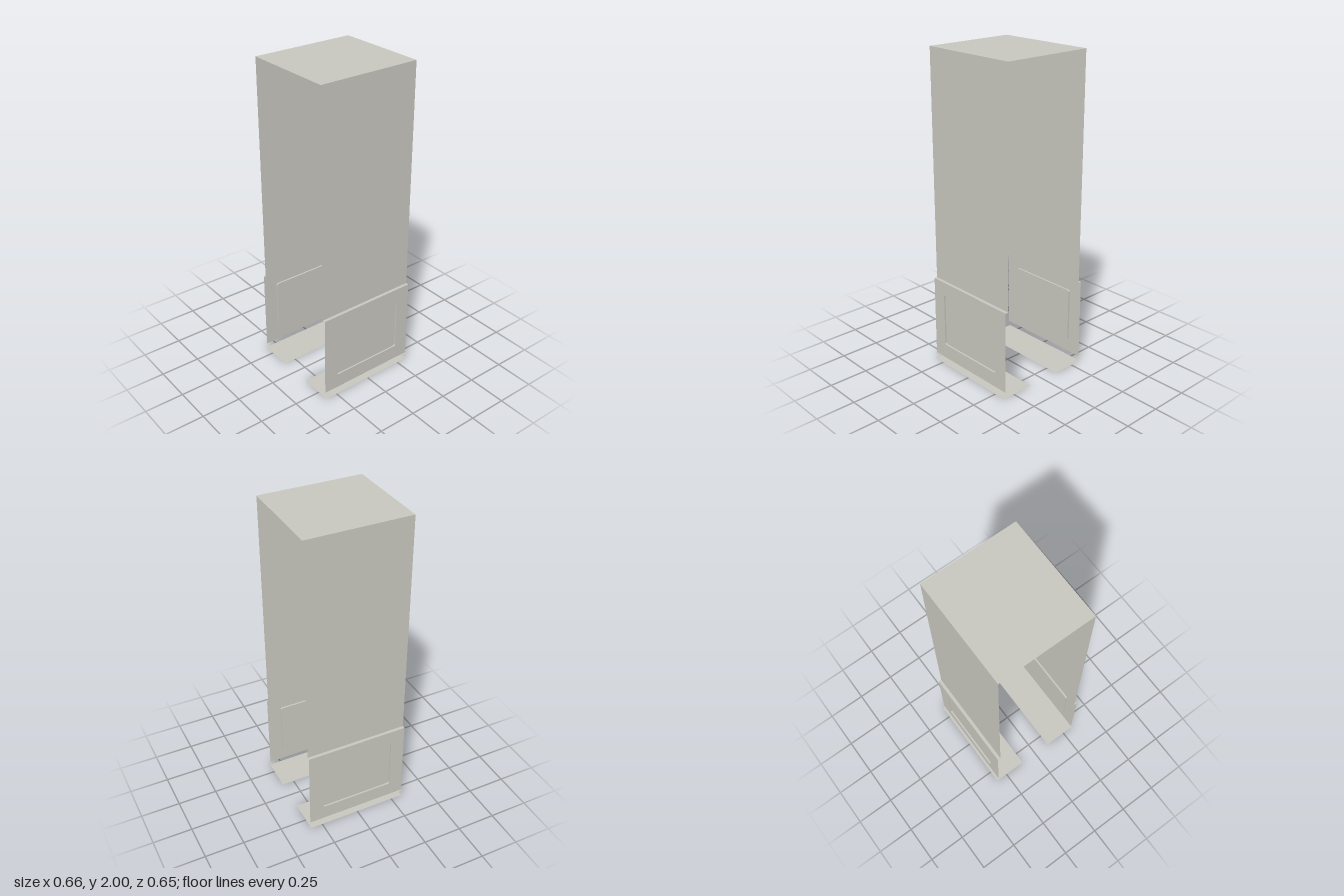
import * as THREE from 'three';

const HALF_Z = 0.327, TOP_X = 0.296, DOOR_X = 0.316, BASE_X = 0.328;
const BASE_Y = 0.038, LEDGE_Y = 0.563, TOP_Y = 2;

const shell = new THREE.MeshStandardMaterial({ color: 0xc8c7bf, side: THREE.DoubleSide });
shell.name = 'warmGrey';

function part(name, geometry) {
  const mesh = new THREE.Mesh(geometry, shell);
  mesh.name = name;
  return mesh;
}

// Horizontal sheet facing up, from x0 to x1 over the full depth
function flat(name, x0, x1, y) {
  const g = new THREE.PlaneGeometry(x1 - x0, HALF_Z * 2).rotateX(-Math.PI / 2);
  return part(name, g.translate((x0 + x1) / 2, y, 0));
}

// Rounded rectangle outline, x running along the depth
function roundedRect(path, hw, y0, y1, r) {
  path.moveTo(-hw + r, y0).lineTo(hw - r, y0);
  path.absarc(hw - r, y0 + r, r, -Math.PI / 2, 0);
  path.absarc(hw - r, y1 - r, r, 0, Math.PI / 2);
  path.absarc(-hw + r, y1 - r, r, Math.PI / 2, Math.PI);
  path.absarc(-hw + r, y0 + r, r, Math.PI, Math.PI * 1.5);
  return path;
}

// Stand a flat shape up as a sheet facing +x
function upright(name, shape, x) {
  return part(name, new THREE.ShapeGeometry(shape, 4).rotateY(Math.PI / 2).translate(x, 0, 0));
}

// Wall joining the opening to the sunken panel, facing into the recess
function recessWall(outline, x0, x1) {
  const pts = outline.getPoints(4), pos = [];
  pts.forEach((a, i) => {
    const b = pts[(i + 1) % pts.length];
    if (a.distanceTo(b) < 1e-5) return;
    pos.push(x1, a.y, -a.x, x0, b.y, -b.x, x0, a.y, -a.x);
    pos.push(x1, a.y, -a.x, x1, b.y, -b.x, x0, b.y, -b.x);
  });
  const g = new THREE.BufferGeometry();
  g.setAttribute('position', new THREE.Float32BufferAttribute(pos, 3));
  g.computeVertexNormals();
  return part('recessWall', g);
}

function createSide() {
  const side = new THREE.Group();

  // Tall upper panel
  const h = TOP_Y - LEDGE_Y;
  side.add(part('upperSidePanel', new THREE.PlaneGeometry(HALF_Z * 2, h)
    .rotateY(Math.PI / 2).translate(TOP_X, LEDGE_Y + h / 2, 0)));

  // Lower panel with a shallow rounded recess
  const recess = () => [0.2365, 0.132, 0.472, 0.012];
  const frame = new THREE.Shape();
  frame.moveTo(-HALF_Z, BASE_Y).lineTo(HALF_Z, BASE_Y).lineTo(HALF_Z, LEDGE_Y)
    .lineTo(-HALF_Z, LEDGE_Y).closePath();
  frame.holes.push(roundedRect(new THREE.Path(), ...recess()));
  const inset = roundedRect(new THREE.Shape(), ...recess());
  const depthX = DOOR_X - 0.011;
  side.add(upright('lowerSidePanel', frame, DOOR_X));
  side.add(upright('recessPanel', inset, depthX));
  side.add(recessWall(inset, depthX, DOOR_X));

  // Steps between the levels, and the foot plate
  side.add(flat('upperLedge', TOP_X, DOOR_X, LEDGE_Y));
  side.add(flat('baseLedge', DOOR_X, BASE_X, BASE_Y));
  side.add(flat('footPlate', 0.11, BASE_X, 0));
  return side;
}

export function createModel() {
  const model = new THREE.Group();
  model.name = 'openCabinetShell';
  ['leftSide', 'rightSide'].forEach((name, i) => {
    const side = createSide();
    side.name = name;
    side.rotation.y = i * Math.PI;
    model.add(side);
  });
  model.add(flat('topPanel', -TOP_X, TOP_X, TOP_Y));
  return model;
}
